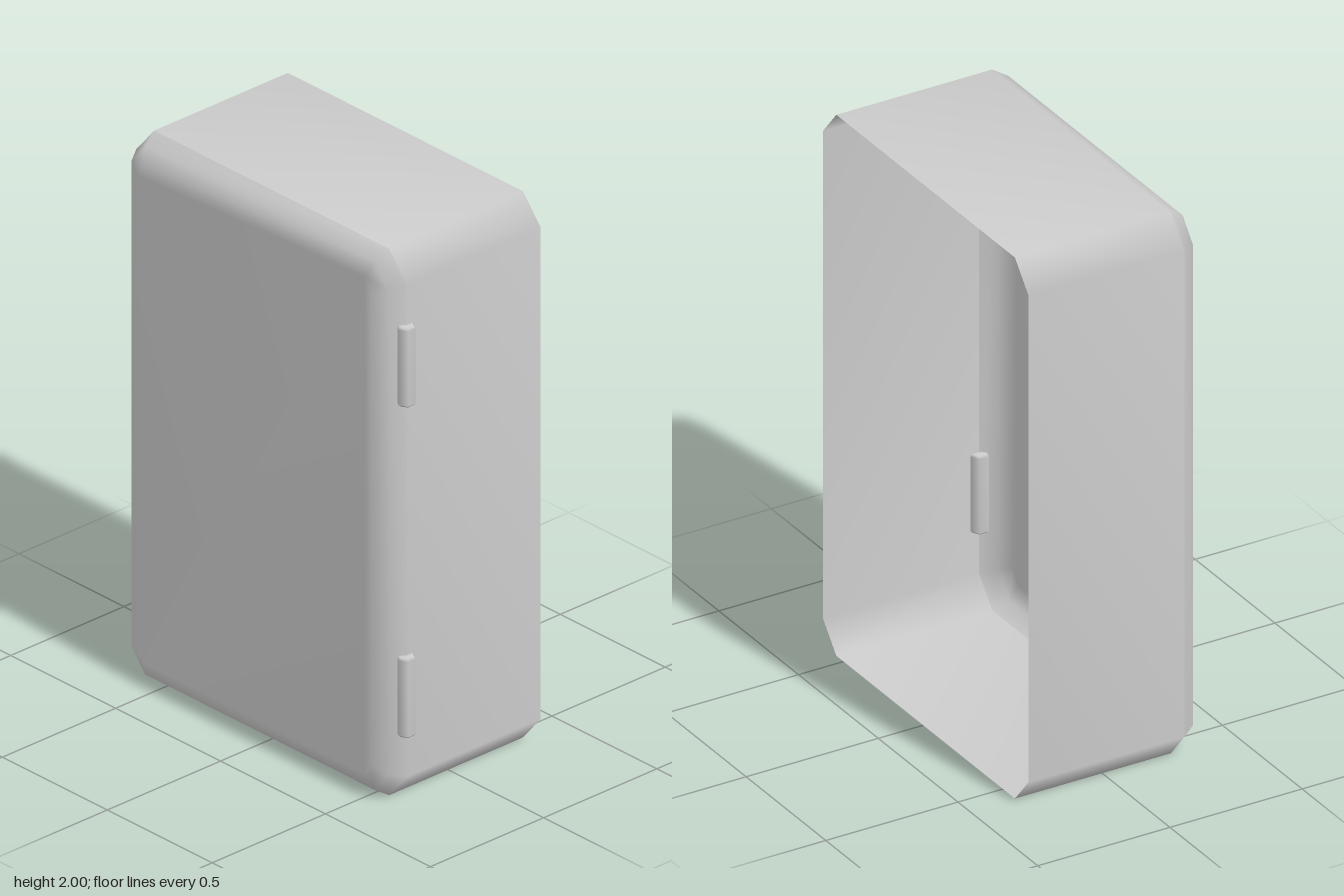
import * as THREE from 'three';

const material = new THREE.MeshStandardMaterial({ color: 0xcccccc, side: THREE.DoubleSide });
const ZC = -0.015; // centre of the case in z

// Chamfered rectangle in the y-z plane, shrunk by an inset
function outline(inset) {
  const h = 1 - inset, w = 0.645 - inset;
  const cy = 0.1 - inset * 0.59, cz = 0.085 - inset * 0.59;
  return [
    [h, w - cz], [h - cy, w], [cy - h, w], [-h, w - cz],
    [-h, cz - w], [cy - h, -w], [h - cy, -w], [h, cz - w],
  ];
}

// Joins outlines, given as [x, inset] from +x to -x, and can close the -x end
function loft(name, rings, closed) {
  const positions = [], index = [], n = 8;
  for (const [x, inset] of rings) {
    for (const [y, z] of outline(inset)) positions.push(x, y + 1, z + ZC);
  }
  for (let i = 0; i < rings.length - 1; i++) {
    for (let j = 0; j < n; j++) {
      const a = i * n + j, b = i * n + (j + 1) % n;
      index.push(a, a + n, b, b, a + n, b + n);
    }
  }
  if (closed) {
    const s = (rings.length - 1) * n;
    for (let j = 1; j < n - 1; j++) index.push(s, s + j + 1, s + j);
  }
  const geometry = new THREE.BufferGeometry();
  geometry.setAttribute('position', new THREE.Float32BufferAttribute(positions, 3));
  geometry.setIndex(index);
  geometry.computeVertexNormals();
  const mesh = new THREE.Mesh(geometry, material);
  mesh.name = name;
  return mesh;
}

export function createModel() {
  const group = new THREE.Group();
  group.name = 'openCase';

  // Thin open tube and the shallow dished panel that closes it on one side
  group.add(loft('caseBody', [[0.33, 0], [-0.26, 0]], false));
  group.add(loft('caseDoor', [[-0.26, 0], [-0.313, 0.033], [-0.335, 0.09]], true));

  // Six-sided hinge barrels with slightly bevelled ends
  const profile = [[0, -0.145], [0.026, -0.145], [0.034, -0.137], [0.034, 0.137], [0.026, 0.145], [0, 0.145]]
    .map(([r, y]) => new THREE.Vector2(r, y));
  const barrel = new THREE.LatheGeometry(profile, 6, Math.PI / 6);
  for (const [name, y] of [['lowerHinge', 0.4], ['upperHinge', 1.61]]) {
    const hinge = new THREE.Mesh(barrel, material);
    hinge.name = name;
    hinge.position.set(-0.262, y, 0.628);
    group.add(hinge);
  }
  return group;
}
